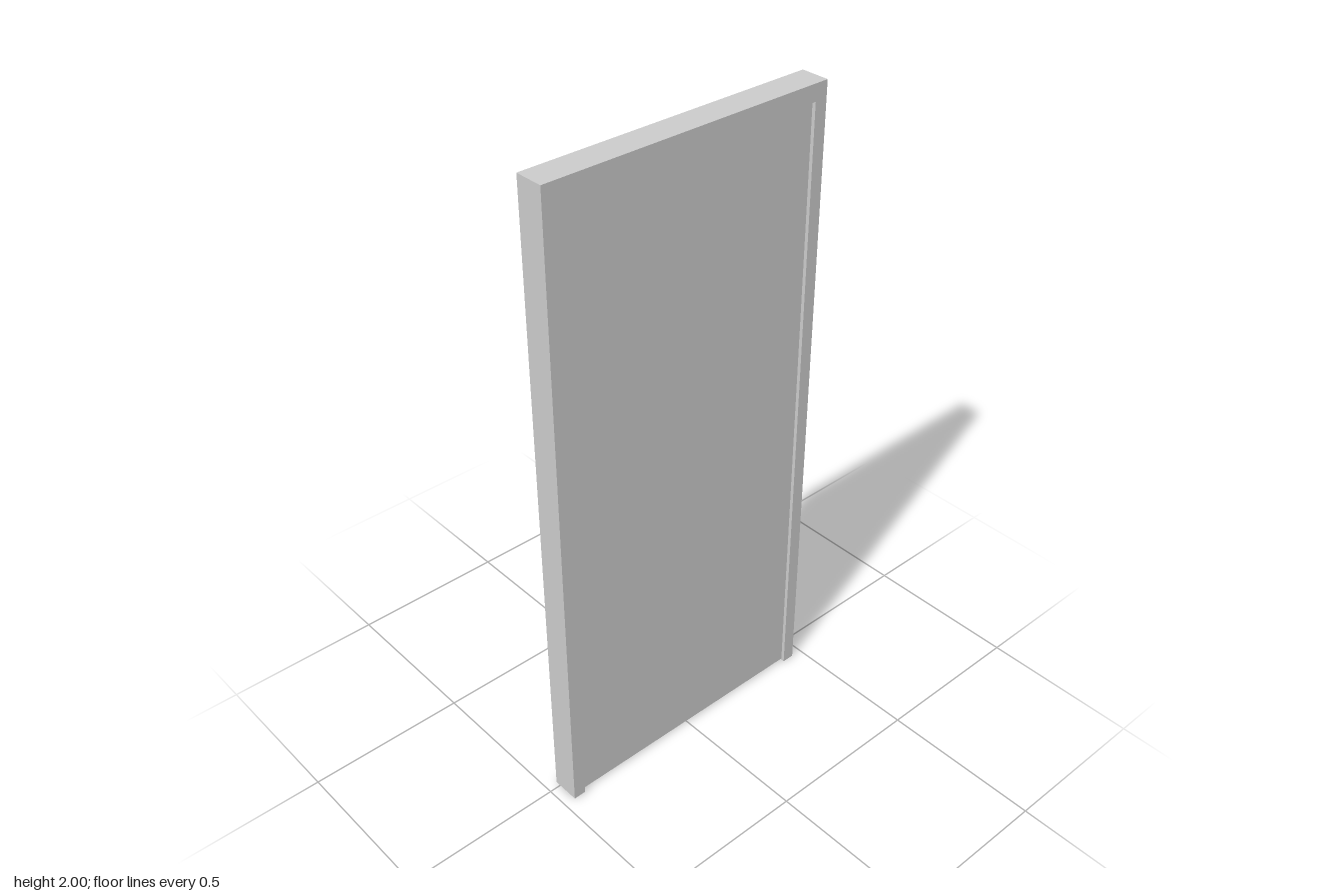
import * as THREE from 'three';

const material = new THREE.MeshStandardMaterial({ color: 0xcccccc });

// Box given by its min and max corners
function block(name, min, max) {
  const size = max.map((v, i) => v - min[i]);
  const mesh = new THREE.Mesh(new THREE.BoxGeometry(...size), material);
  mesh.position.set(...max.map((v, i) => (v + min[i]) / 2));
  mesh.name = name;
  return mesh;
}

export function createModel() {
  const model = new THREE.Group();
  model.name = 'door';

  const W = 0.463, H = 2, inner = 0.423, innerTop = 1.95;
  const back = -0.018, front = 0.07, recess = 0.011;

  // Frame: two jambs and a lintel in one piece
  const outline = new THREE.Shape([
    [-W, 0], [-inner, 0], [-inner, innerTop], [inner, innerTop],
    [inner, 0], [W, 0], [W, H], [-W, H],
  ].map(([x, y]) => new THREE.Vector2(x, y)));
  const frame = new THREE.Mesh(
    new THREE.ExtrudeGeometry(outline, { depth: front - back, bevelEnabled: false }), material);
  frame.position.z = back;
  frame.name = 'doorFrame';
  model.add(frame);

  // Door leaf, set back on both faces and just clear of the floor
  model.add(block('doorLeaf',
    [-inner, 0.005, back + recess], [inner, innerTop, front - recess]));

  // Pull handle on the back: square grip on two round posts
  const handle = new THREE.Group();
  handle.name = 'pullHandle';
  const x = -0.363, gripZ = -0.052;
  handle.add(block('grip', [x - 0.011, 0.93, -0.07], [x + 0.011, 1.13, gripZ]));
  const postLength = back + recess - gripZ + 0.004;
  for (const y of [0.94, 1.12]) {
    const post = new THREE.Mesh(new THREE.CylinderGeometry(0.008, 0.008, postLength, 24), material);
    post.rotation.x = Math.PI / 2;
    post.position.set(x, y, gripZ - 0.002 + postLength / 2);
    post.name = 'handlePost';
    handle.add(post);
  }
  model.add(handle);

  return model;
}
